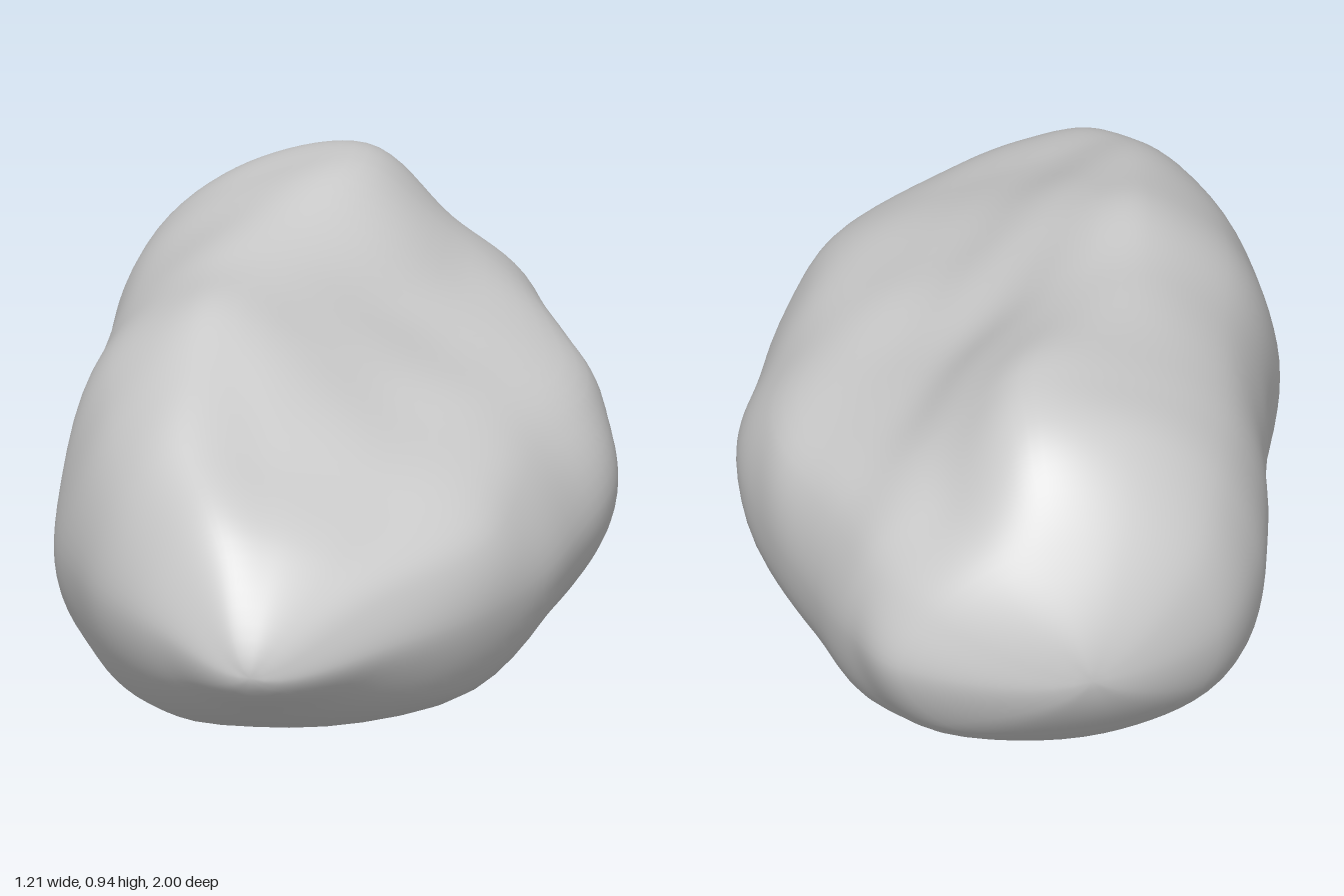
import * as THREE from 'three';
import { mergeVertices } from 'three/addons/utils/BufferGeometryUtils.js';

// Cross-sections from back to front: z, then ten (x, y) corners going round
// from the +x side over the ridge, down the -x side and under the belly.
const SECTIONS = [
  [-0.88, .36, .42, .30, .56, .17, .67, .04, .72, -.12, .71, -.27, .62, -.33, .46, -.28, .32, -.08, .24, .24, .27],
  [-0.70, .45, .40, .40, .59, .24, .74, .06, .90, -.16, .87, -.36, .73, -.44, .50, -.38, .26, -.10, .13, .34, .19],
  [-0.50, .50, .38, .45, .60, .26, .76, .05, .935, -.20, .88, -.41, .74, -.48, .50, -.42, .22, -.15, .10, .40, .15],
  [-0.10, .60, .40, .54, .58, .22, .71, -.12, .87, -.28, .87, -.46, .74, -.53, .48, -.48, .17, -.25, .03, .49, .16],
  [0.23, .54, .37, .40, .60, .10, .72, -.20, .86, -.32, .86, -.50, .72, -.605, .40, -.53, .14, -.33, .015, .38, .12],
  [0.60, .38, .36, .33, .53, .10, .63, -.14, .70, -.33, .74, -.46, .62, -.53, .40, -.46, .20, -.30, .09, .26, .15],
  [0.85, .14, .36, .10, .47, .00, .54, -.13, .59, -.25, .60, -.34, .52, -.39, .40, -.34, .28, -.20, .21, .04, .25],
];
const CORNERS = 10, ROWS = 72, AROUND = 80;
const backTip = new THREE.Vector3(-0.04, 0.45, -1);
const frontTip = new THREE.Vector3(-0.18, 0.35, 1);

const corner = (s, i) => {
  const k = 1 + 2 * (i % CORNERS);
  return new THREE.Vector3(s[k], s[k + 1], s[0]);
};

// Lengthwise curve through one corner of every section; it carries on past
// each tip to the opposite corner so that the ends come out rounded.
function makeRail(i) {
  const opposite = i + CORNERS / 2;
  return new THREE.CatmullRomCurve3([
    corner(SECTIONS[0], opposite), backTip,
    ...SECTIONS.map((s) => corner(s, i)),
    frontTip, corner(SECTIONS[SECTIONS.length - 1], opposite),
  ]);
}

// Gentle weathering of the surface, fading out at the tips
function weather(p) {
  const fade = 1 - p.z * p.z;
  const bump = Math.sin(9 * p.x + 5 * p.z) * Math.sin(11 * p.y - 7 * p.z + 1)
    + 0.6 * Math.sin(17 * p.z + 6 * p.x) * Math.sin(15 * p.x - 8 * p.y);
  const out = new THREE.Vector3(p.x, p.y - 0.44, 0).normalize();
  return p.addScaledVector(out, 0.006 * fade * bump);
}

function rockGeometry() {
  const rails = Array.from({ length: CORNERS }, (_, i) => makeRail(i));
  const segments = SECTIONS.length + 3;
  const positions = [], indices = [];
  for (let r = 0; r <= ROWS; r++) {
    const t = (1 + (r / ROWS) * (segments - 2)) / segments;
    const ring = new THREE.CatmullRomCurve3(rails.map((c) => c.getPoint(t)), true);
    for (let i = 0; i < AROUND; i++) {
      const p = weather(ring.getPoint(i / AROUND));
      positions.push(p.x, Math.max(0, p.y), p.z);
      if (r === ROWS) continue;
      const a = r * AROUND + i, b = r * AROUND + (i + 1) % AROUND;
      const c = b + AROUND, d = a + AROUND;
      if (r < ROWS - 1) indices.push(a, c, d);
      if (r > 0) indices.push(a, b, c);
      // the last row closes on the front tip with the second triangle only
    }
  }
  const geometry = new THREE.BufferGeometry();
  geometry.setAttribute('position', new THREE.Float32BufferAttribute(positions, 3));
  geometry.setIndex(indices);
  const merged = mergeVertices(geometry, 1e-5);
  merged.computeVertexNormals();
  return merged;
}

export function createModel() {
  const group = new THREE.Group();
  group.name = 'rock';
  const boulder = new THREE.Mesh(rockGeometry(), new THREE.MeshStandardMaterial({ color: 0xcccccc }));
  boulder.name = 'boulder';
  group.add(boulder);
  return group;
}
